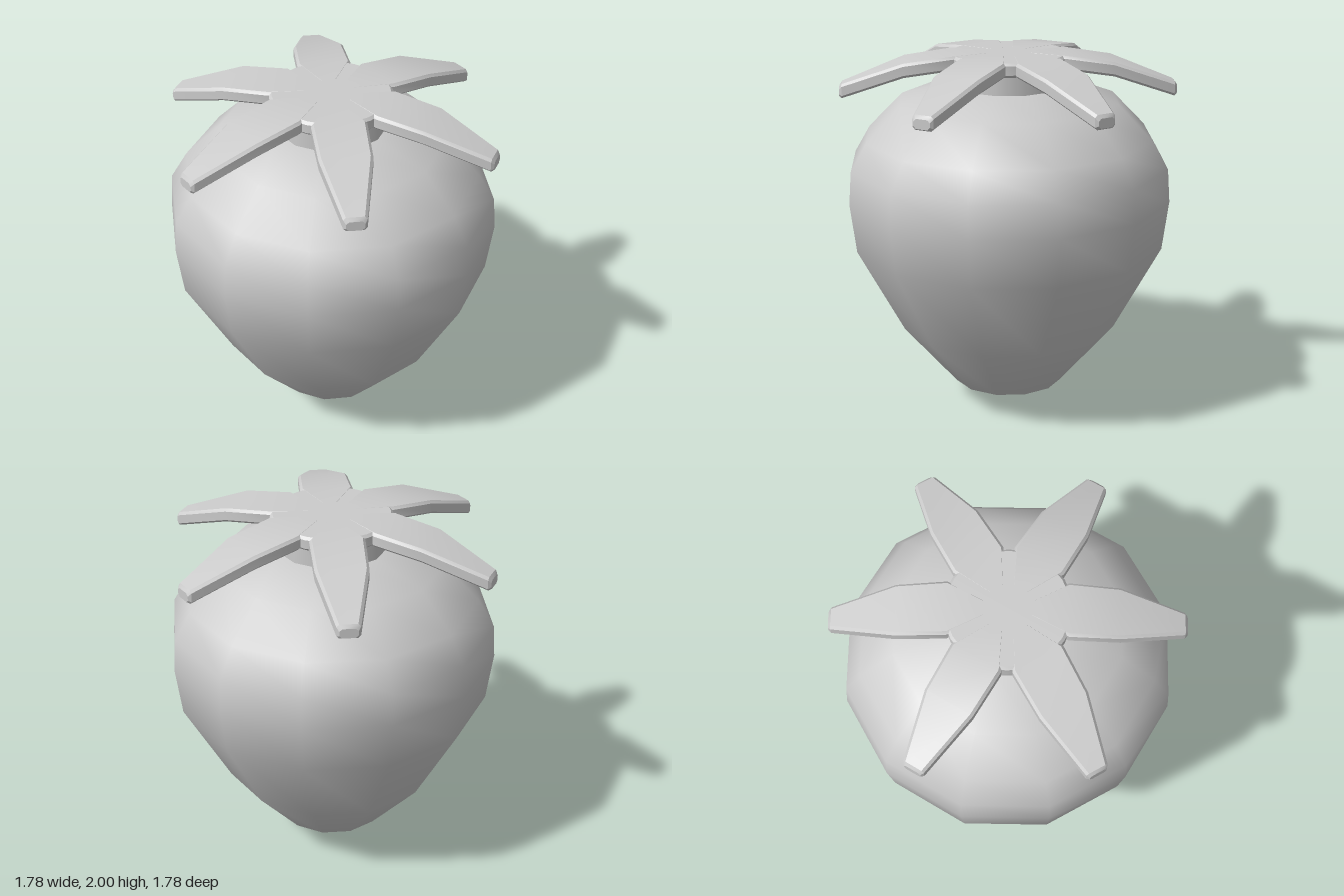
import * as THREE from 'three';
import { mergeVertices, toCreasedNormals } from 'three/addons/utils/BufferGeometryUtils.js';

const material = new THREE.MeshStandardMaterial({ color: 0xcccccc });

function addMesh(parent, name, geometry) {
  const mesh = new THREE.Mesh(geometry, material);
  mesh.name = name;
  parent.add(mesh);
  return mesh;
}

function lathe(profile, sides) {
  return new THREE.LatheGeometry(profile.map(([r, y]) => new THREE.Vector2(r, y)), sides);
}

// Weld the seam and poles so the fruit shades smoothly all over
function smooth(geometry) {
  geometry.deleteAttribute('uv');
  geometry.deleteAttribute('normal');
  const welded = mergeVertices(geometry, 1e-4);
  welded.computeVertexNormals();
  return welded;
}

// One leaf along +x: bevelled cross-sections [distance, half width, top height, inset]
function leafGeometry() {
  const thickness = 0.077, bevel = 0.014;
  const sections = [
    [0.12, 0.05, 2.0, 0],
    [0.303, 0.143, 2.0, 0],
    [0.56, 0.136, 1.963, 0],
    [0.894, 0.06, 1.84, 0],
    [0.908, 0.06, 1.835, 0.013],
  ];
  const positions = [];
  for (const [x, halfWidth, topY, inset] of sections) {
    const w = halfWidth - inset, t = topY - inset, b = topY - thickness + inset;
    const ring = [
      [t, bevel - w], [t, w - bevel], [t - bevel, w], [b + bevel, w],
      [b, w - bevel], [b, bevel - w], [b + bevel, -w], [t - bevel, -w],
    ];
    for (const [y, z] of ring) positions.push(x, y, z);
  }
  const index = [];
  for (let i = 0; i < sections.length - 1; i++) {
    for (let k = 0; k < 8; k++) {
      const a = i * 8 + k, b = i * 8 + (k + 1) % 8;
      index.push(a, b, b + 8, a, b + 8, a + 8);
    }
  }
  // Tip cap
  const last = (sections.length - 1) * 8;
  for (let k = 1; k < 7; k++) index.push(last, last + k, last + k + 1);

  const geometry = new THREE.BufferGeometry();
  geometry.setAttribute('position', new THREE.Float32BufferAttribute(positions, 3));
  geometry.setIndex(index);
  return toCreasedNormals(geometry, 0.5);
}

export function createModel() {
  const model = new THREE.Group();
  model.name = 'strawberry';

  // Twelve-sided fruit
  addMesh(model, 'fruit', smooth(lathe([
    [0, 0], [0.305, 0.13], [0.6, 0.475], [0.855, 0.95], [0.89, 1.22],
    [0.877, 1.4], [0.79, 1.55], [0.6, 1.745], [0.28, 1.828], [0, 1.83],
  ], 12)));

  // Leafy cap: short neck, central disc and six drooping leaves
  const cap = new THREE.Group();
  cap.name = 'leafCap';
  model.add(cap);

  const neck = new THREE.CylinderGeometry(0.3, 0.3, 0.16, 12, 1, true);
  addMesh(cap, 'neck', neck).position.y = 1.88;

  addMesh(cap, 'capDisc', toCreasedNormals(lathe([
    [0, 1.923], [0.31, 1.923], [0.324, 1.937], [0.324, 1.985], [0.31, 1.999], [0, 1.999],
  ], 24), 0.5));

  const leaf = leafGeometry();
  for (let i = 0; i < 6; i++) {
    addMesh(cap, 'leaf', leaf).rotation.y = -THREE.MathUtils.degToRad(15 + i * 60);
  }
  return model;
}
